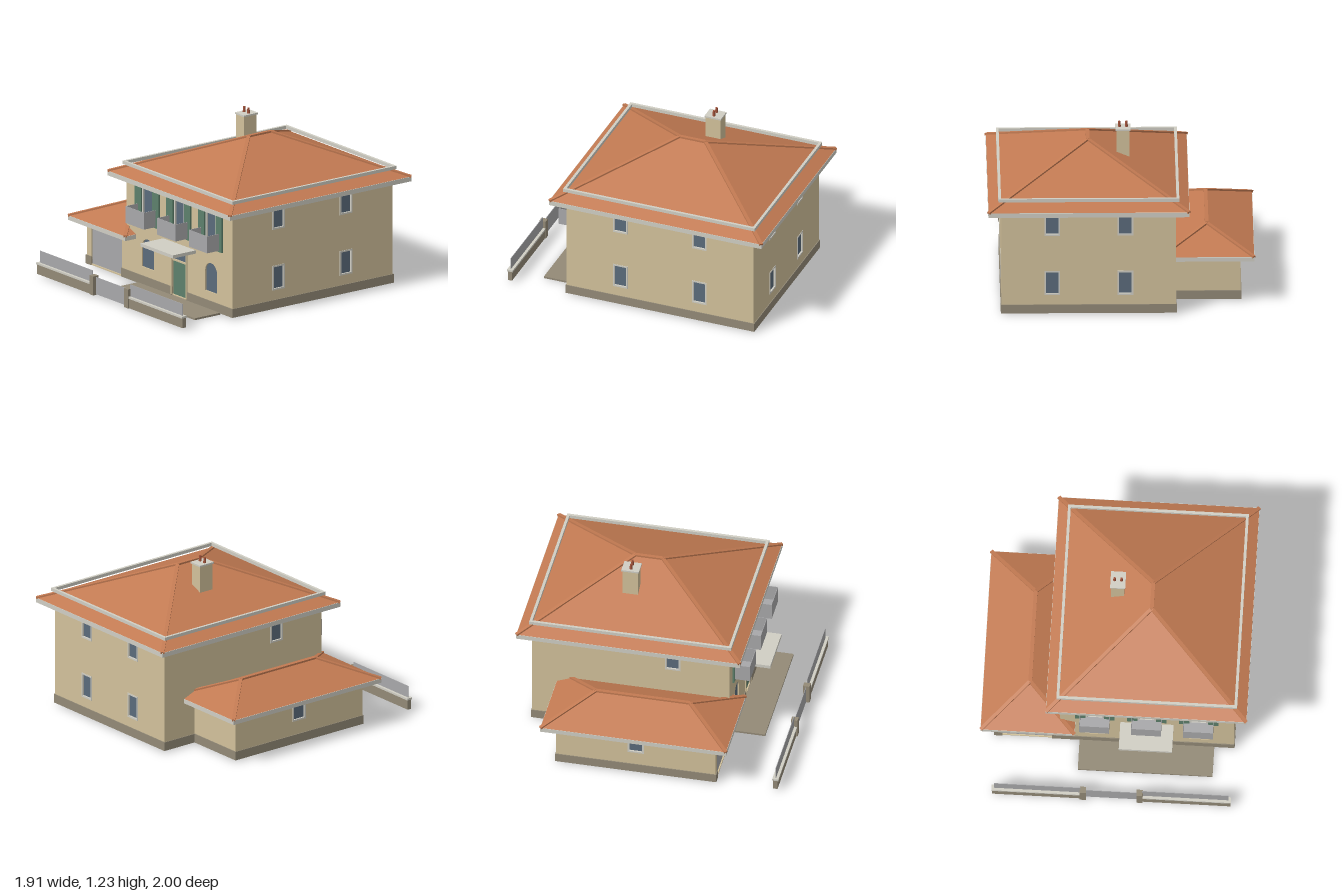
import * as THREE from 'three';

const mat = (name, color, double) => {
  const m = new THREE.MeshStandardMaterial({ color });
  m.name = name;
  if (double) m.side = THREE.DoubleSide;
  return m;
};
const M = {
  wall: mat('cream render', 0xd2c19b),
  roof: mat('terracotta tile', 0xc27a52, true),
  pot: mat('dark terracotta', 0xa0523a),
  green: mat('green paint', 0x5d806c),
  glass: mat('blue grey glass', 0x5b6b7b),
  trim: mat('pale trim', 0xd0cec4),
  rail: mat('grey panel', 0xa8a8aa, true),
  stone: mat('plinth stone', 0x938a77),
};

const add = (parent, name, geo, material, x = 0, y = 0, z = 0) => {
  const m = new THREE.Mesh(geo, material);
  m.name = name;
  m.position.set(x, y, z);
  parent.add(m);
  return m;
};

// Box given by its minimum and maximum on each axis
const box = (parent, name, material, x0, x1, y0, y1, z0, z1) =>
  add(parent, name, new THREE.BoxGeometry(x1 - x0, y1 - y0, z1 - z0), material,
    (x0 + x1) / 2, (y0 + y1) / 2, (z0 + z1) / 2);

// Rectangle outline, optionally with a round-arched top
function outline(T, x0, x1, y0, y1, arch) {
  const s = new T(), r = (x1 - x0) / 2;
  s.moveTo(x0, y0);
  s.lineTo(x1, y0);
  if (arch) {
    s.lineTo(x1, y1 - r);
    s.absarc((x0 + x1) / 2, y1 - r, r, 0, Math.PI, false);
  } else {
    s.lineTo(x1, y1);
    s.lineTo(x0, y1);
  }
  s.closePath();
  return s;
}
const extrude = (shape, depth) =>
  new THREE.ExtrudeGeometry(shape, { depth, bevelEnabled: false, curveSegments: 12 });

// Horizontal rectangular ring
function ring(parent, name, material, o, i, y0, y1) {
  const s = outline(THREE.Shape, ...o);
  s.holes.push(outline(THREE.Path, ...i));
  add(parent, name, extrude(s, y1 - y0).rotateX(Math.PI / 2), material, 0, y1, 0);
}

// Wall with openings; local x runs along the wall and local +z faces outward
function wall(parent, name, w, h, x, z, turn, openings) {
  const g = new THREE.Group();
  g.name = name;
  g.position.set(x, 0, z);
  g.rotation.y = turn;
  parent.add(g);
  const s = outline(THREE.Shape, -w / 2, w / 2, 0.01, h);
  let left = -w / 2 - 0.006;
  for (const o of openings) {
    const e = [o.u - o.w / 2, o.u + o.w / 2, o.y0, o.y1];
    s.holes.push(outline(THREE.Path, ...e, o.arch));
    add(g, o.name, extrude(outline(THREE.Shape, ...e, o.arch), 0.006), o.fill || M.glass, 0, 0, -0.016);
    if (o.frame) {
      const f = outline(THREE.Shape, e[0] - 0.004, e[1] + 0.004, e[2] - 0.004, e[3] + 0.004);
      f.holes.push(outline(THREE.Path, e[0] + 0.008, e[1] - 0.008, e[2] + 0.008, e[3] - 0.008));
      add(g, o.name + 'Frame', extrude(f, 0.013), M.trim, 0, 0, -0.01);
    }
    // Plinth is interrupted by doors
    if (o.y0 < 0.07) {
      box(g, 'plinth', M.stone, left, e[0], 0.01, 0.075, -0.006, 0.006);
      left = e[1];
    }
  }
  box(g, 'plinth', M.stone, left, w / 2 + 0.006, 0.01, 0.075, -0.006, 0.006);
  add(g, name + 'Panel', extrude(s, 0.02), M.wall, 0, 0, -0.02);
  return g;
}

// Hipped roof with 45 degree hips in plan, capped along hips and ridge
function hipRoof(parent, name, x0, x1, z0, z1, y0, y1) {
  const xm = (x0 + x1) / 2, r = (x1 - x0) / 2;
  const a = [x0, y0, z0], b = [x1, y0, z0], c = [x1, y0, z1], d = [x0, y0, z1];
  const p = [xm, y1, z0 + r], q = [xm, y1, z1 - r];
  const geo = new THREE.BufferGeometry();
  const pts = [d, c, q, c, b, p, c, p, q, b, a, p, a, d, q, a, q, p].flat();
  geo.setAttribute('position', new THREE.Float32BufferAttribute(pts, 3));
  geo.computeVertexNormals();
  add(parent, name, geo, M.roof);
  for (const [s, e] of [[a, p], [b, p], [c, q], [d, q], [p, q]]) {
    const v = new THREE.Vector3(...s), t = new THREE.Vector3(...e);
    const cap = add(parent, name + 'Cap', new THREE.BoxGeometry(0.026, 0.016, v.distanceTo(t)), M.roof);
    cap.position.copy(v).lerp(t, 0.5);
    cap.lookAt(t);
  }
}

export function createModel() {
  const root = new THREE.Group();
  root.name = 'house';
  const P = Math.PI, cx = 0.229, cz = -0.1775, W = 1.24, D = 1.435;
  const low = (u) => ({ name: 'lowerWindow', u, w: 0.105, y0: 0.15, y1: 0.325, frame: true });
  const high = (u) => ({ name: 'upperWindow', u, w: 0.105, y0: 0.6, y1: 0.772, frame: true });

  // Main house walls
  const front = wall(root, 'frontWall', W, 0.8, cx, 0.54, 0, [
    ...[-0.37, 0, 0.37].map((u) => ({ name: 'balconyDoor', u, w: 0.118, y0: 0.47, y1: 0.772, frame: true })),
    ...[-0.37, 0.37].map((u) => ({ name: 'archedWindow', u, w: 0.14, y0: 0.14, y1: 0.355, arch: true })),
    { name: 'frontDoor', u: -0.002, w: 0.165, y0: 0.02, y1: 0.272, fill: M.green },
    { name: 'transom', u: -0.002, w: 0.165, y0: 0.285, y1: 0.345 },
  ]);
  for (const s of [-1, 1]) box(front, 'doorJamb', M.wall, s * 0.089 - 0.006, s * 0.089 + 0.006, 0.02, 0.357, 0, 0.008);
  box(front, 'doorLintel', M.wall, -0.095, 0.095, 0.345, 0.357, 0, 0.008);
  wall(root, 'leftSideWall', D, 0.8, 0.849, cz, P / 2,
    [low(-0.305), low(0.3), high(-0.305), high(0.3)]);
  wall(root, 'rightSideWall', D, 0.8, -0.391, cz, -P / 2, [high(0.305), low(-0.3)]);
  wall(root, 'backWall', W, 0.8, cx, -0.895, P,
    [low(-0.26), low(0.26), high(-0.26), high(0.26)]);

  // Shutters and balconies
  for (const u of [-0.37, 0, 0.37]) {
    for (const s of [-1, 1])
      box(front, 'shutter', M.green, u + s * 0.103 - 0.037, u + s * 0.103 + 0.037, 0.465, 0.77, 0, 0.012);
    box(front, 'balconyFloor', M.rail, u - 0.107, u + 0.107, 0.475, 0.483, 0, 0.118);
    box(front, 'balconyFront', M.rail, u - 0.107, u + 0.107, 0.475, 0.6, 0.114, 0.118);
    for (const s of [-1, 1])
      box(front, 'balconySide', M.rail, u + s * 0.105 - 0.002, u + s * 0.105 + 0.002, 0.475, 0.6, 0.005, 0.118);
  }

  // Door canopy and terrace
  box(root, 'canopy', M.trim, 0.04, 0.42, 0.384, 0.408, 0.54, 0.745);
  box(root, 'terrace', M.stone, -0.25, 0.71, 0, 0.014, 0.54, 0.77);

  // Main roof with eaves and snow rail
  ring(root, 'eaves', M.trim, [-0.487, 0.945, -0.992, 0.637], [-0.391, 0.849, -0.895, 0.54], 0.768, 0.802);
  hipRoof(root, 'mainRoof', -0.485, 0.943, -0.99, 0.635, 0.803, 1.098);
  ring(root, 'roofRail', M.trim, [-0.415, 0.873, -0.912, 0.558], [-0.395, 0.853, -0.892, 0.538], 0.856, 0.88);

  // Chimney
  box(root, 'chimney', M.wall, -0.068, 0.025, 0.9, 1.172, -0.308, -0.195);
  box(root, 'chimneyCap', M.trim, -0.075, 0.033, 1.172, 1.184, -0.315, -0.188);
  for (const x of [-0.046, 0.004])
    add(root, 'chimneyPot', new THREE.CylinderGeometry(0.008, 0.011, 0.042, 12), M.pot, x, 1.204, -0.25);

  // Garage wing
  const gw = 0.465, gx = -0.6225;
  wall(root, 'garageFront', gw, 0.36, gx, 0.54, 0,
    [{ name: 'garageDoor', u: 0, w: 0.355, y0: 0.02, y1: 0.315, fill: M.rail }]);
  wall(root, 'garageSide', 1.16, 0.36, -0.855, -0.04, -P / 2,
    [{ name: 'garageWindow', u: 0, w: 0.11, y0: 0.18, y1: 0.3, frame: true }]);
  wall(root, 'garageBack', gw, 0.36, gx, -0.62, P, []);
  ring(root, 'garageEaves', M.trim, [-0.952, -0.28, -0.717, 0.637], [-0.855, -0.375, -0.62, 0.54], 0.328, 0.36);
  hipRoof(root, 'garageRoof', -0.95, -0.282, -0.715, 0.635, 0.361, 0.498);

  // Boundary fence, mirrored about the gate
  for (const s of [-1, 1]) {
    const span = (name, m, a, b, ...r) => box(root, name, m, Math.min(s * a, s * b), Math.max(s * a, s * b), ...r);
    span('fenceWall', M.stone, 0.22, 0.85, 0.014, 0.086, 0.958, 0.99);
    span('fenceCap', M.trim, 0.22, 0.853, 0.086, 0.1, 0.952, 0.996);
    span('fencePanel', M.rail, 0.22, 0.835, 0.1, 0.187, 0.972, 0.976);
    span('gatePost', M.stone, 0.18, 0.225, 0.014, 0.155, 0.952, 1.0);
  }
  box(root, 'gate', M.rail, -0.18, 0.18, 0.02, 0.147, 0.972, 0.976);
  return root;
}
